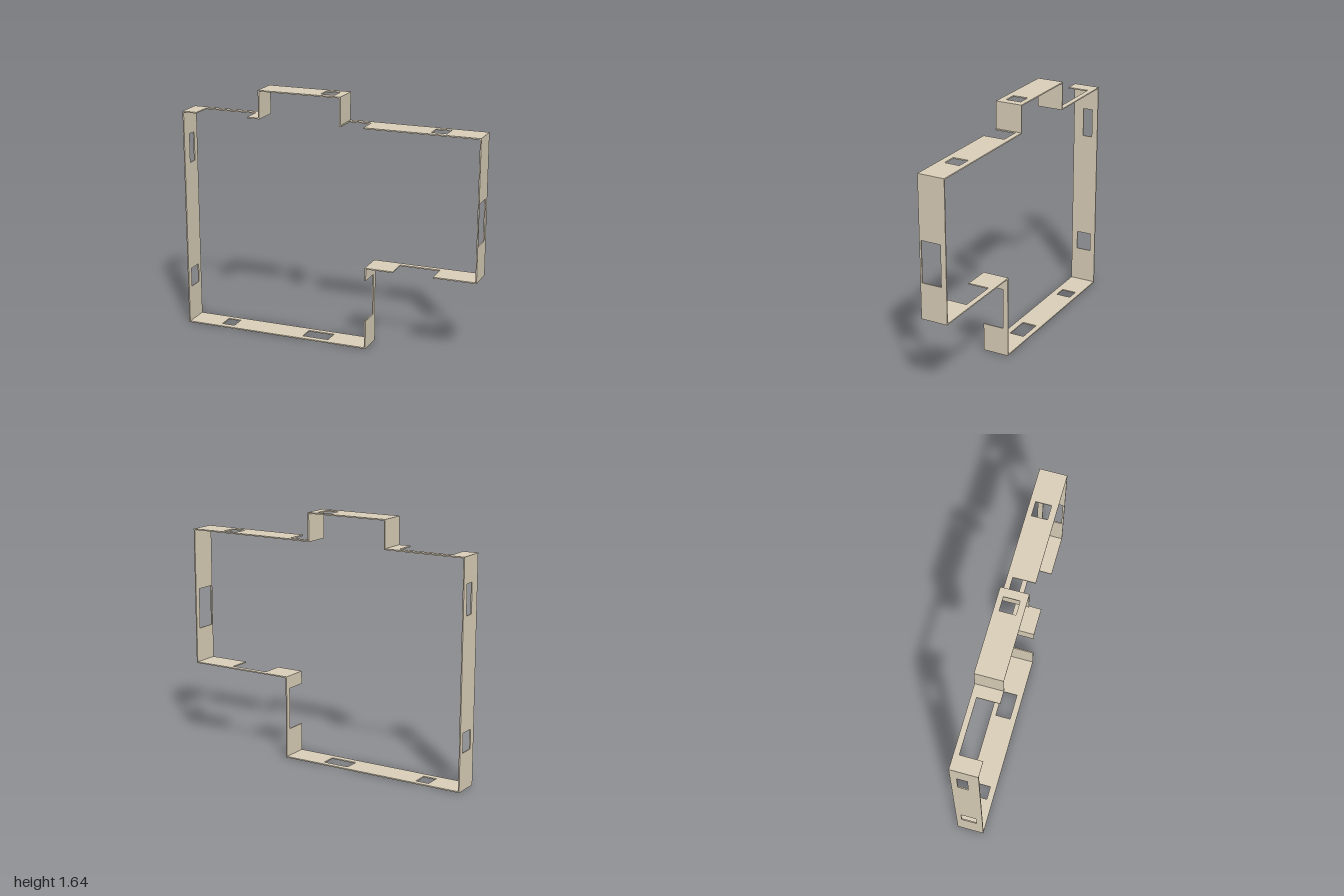
import * as THREE from 'three';

const T = 0.008;              // wall thickness
const D = 0.089;              // half of the wall depth
const BACK = -0.054, FRONT = 0.048; // usual edges of the openings

export function createModel() {
  const group = new THREE.Group();
  const material = new THREE.MeshStandardMaterial({ color: 0xd9ceb8 });

  // A wall panel from a to b; doors are notches open to the front, windows are holes
  function panel(a, b, doors, windows) {
    const shape = new THREE.Shape();
    shape.moveTo(a, -D);
    shape.lineTo(b, -D);
    shape.lineTo(b, D);
    for (const [d0, d1] of doors) { // listed from b towards a
      shape.lineTo(d1, D);
      shape.lineTo(d1, BACK);
      shape.lineTo(d0, BACK);
      shape.lineTo(d0, D);
    }
    shape.lineTo(a, D);
    shape.closePath();
    for (const [w0, w1, z0 = BACK, z1 = FRONT] of windows) {
      const hole = new THREE.Path();
      hole.moveTo(w0, z0);
      hole.lineTo(w0, z1);
      hole.lineTo(w1, z1);
      hole.lineTo(w1, z0);
      hole.closePath();
      shape.holes.push(hole);
    }
    return new THREE.ExtrudeGeometry(shape, { depth: T, bevelEnabled: false });
  }

  const v = (x, y, z) => new THREE.Vector3(x, y, z);
  const alongX = new THREE.Matrix4().makeBasis(v(1, 0, 0), v(0, 0, 1), v(0, -1, 0));
  const alongY = new THREE.Matrix4().makeBasis(v(0, 1, 0), v(0, 0, 1), v(1, 0, 0));

  function add(name, geometry, matrix, x, y) {
    const mesh = new THREE.Mesh(geometry.applyMatrix4(matrix), material);
    mesh.name = name;
    mesh.position.set(x, y, 0);
    group.add(mesh);
  }
  // Level wall whose upper face is at the given y
  const level = (name, top, x0, x1, doors = [], windows = []) =>
    add(name, panel(x0, x1, doors, windows), alongX, 0, top);
  // Upright wall whose smaller-x face is at the given x
  const upright = (name, x, y0, y1, doors = [], windows = []) =>
    add(name, panel(y0, y1, doors, windows), alongY, x, 0);

  // Upright walls
  upright('rightWall', -1, 0, 1.461, [], [[0.245, 0.373], [1.1, 1.295, BACK + 0.006, 0.018]]);
  upright('leftWall', 1 - T, 0.543, 1.461, [], [[0.78, 1.05, BACK, 0.077]]);
  upright('notchWall', 0.266, 0, 0.551, [[0.19, 0.465]]);
  upright('bayRightWall', -0.461, 1.453, 1.64);
  upright('bayLeftWall', 0.09, 1.453, 1.64);

  // Level walls
  level('bottomWall', T, -1 + T, 0.266, [], [[-0.77, -0.68], [-0.18, 0]]);
  level('ledgeWall', 0.551, 0.274, 1 - T, [[0.454, 0.72]]);
  level('topRightWall', 1.461, -1 + T, -0.461, [[-0.9, -0.54]]);
  level('topLeftWall', 1.461, 0.098, 1 - T, [[0.105, 0.25]], [[0.675, 0.775]]);
  level('bayTopWall', 1.64, -0.453, 0.09, [], [[-0.05, 0.043]]);

  return group;
}
